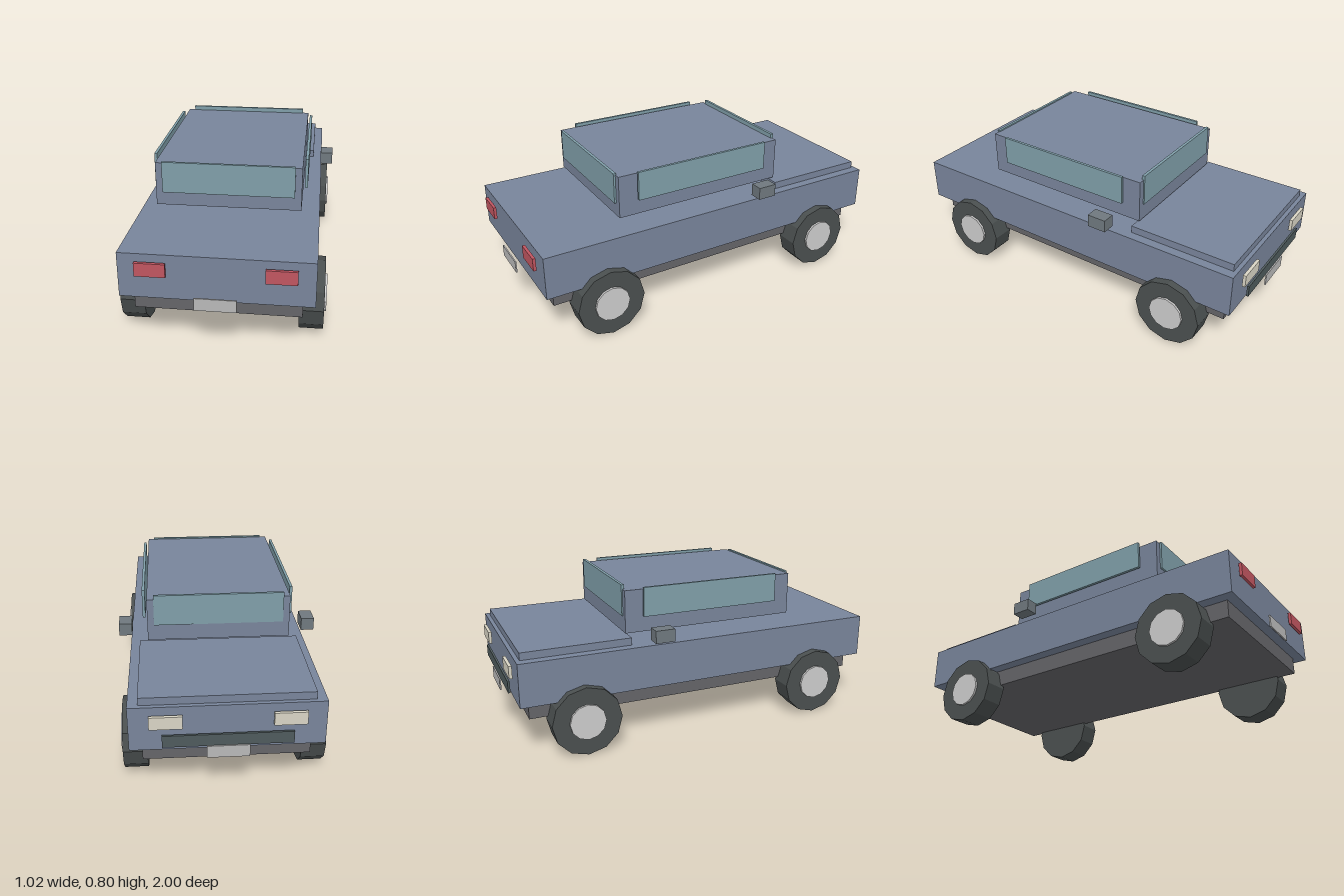
import * as THREE from 'three';

const mat = (color) => new THREE.MeshStandardMaterial({ color, flatShading: true });

export function createModel() {
  const car = new THREE.Group();
  car.name = 'car';

  const paint = mat(0x78849a), glass = mat(0x7f9ea8), rubber = mat(0x4a4f4f);
  const metal = mat(0x646468), chrome = mat(0xcccccc), plate = mat(0xb8b8b8);
  const red = mat(0xc05560), lamp = mat(0xd8d4c4), grille = mat(0x4e5a5c), mirror = mat(0x6f787e);

  // Box given by its min and max along each axis
  function box(name, material, [x0, x1], [y0, y1], [z0, z1]) {
    const mesh = new THREE.Mesh(new THREE.BoxGeometry(x1 - x0, y1 - y0, z1 - z0), material);
    mesh.position.set((x0 + x1) / 2, (y0 + y1) / 2, (z0 + z1) / 2);
    mesh.name = name;
    car.add(mesh);
  }

  // The same box on both sides
  function boxPair(name, material, [x0, x1], y, z) {
    box('left' + name, material, [x0, x1], y, z);
    box('right' + name, material, [-x1, -x0], y, z);
  }

  // Bodywork
  box('chassis', metal, [-0.392, 0.392], [0.197, 0.285], [-0.918, 0.918]);
  box('body', paint, [-0.45, 0.45], [0.284, 0.507], [-0.968, 0.968]);
  box('hood', paint, [-0.402, 0.402], [0.505, 0.545], [-0.947, -0.387]);
  box('cabin', paint, [-0.36, 0.36], [0.557, 0.777], [-0.405, 0.533]);

  // Windows
  box('windshield', glass, [-0.327, 0.327], [0.64, 0.8], [-0.411, -0.396]);
  box('rearWindow', glass, [-0.327, 0.327], [0.626, 0.784], [0.528, 0.543]);
  boxPair('SideWindow', glass, [0.371, 0.385], [0.64, 0.79], [-0.314, 0.437]);

  // Mirrors, lights, grille and plates
  boxPair('Mirror', mirror, [0.444, 0.511], [0.535, 0.6], [-0.301, -0.2]);
  boxPair('TailLight', red, [0.225, 0.368], [0.404, 0.471], [0.977, 0.992]);
  boxPair('Headlight', lamp, [0.205, 0.357], [0.405, 0.469], [-0.993, -0.977]);
  box('grille', grille, [-0.3, 0.3], [0.31, 0.37], [-0.993, -0.982]);
  box('rearPlate', plate, [-0.098, 0.098], [0.25, 0.312], [0.993, 1]);
  box('frontPlate', plate, [-0.098, 0.098], [0.25, 0.312], [-1, -0.993]);

  // Wheels with hubcaps on the outside
  const tireGeo = new THREE.CylinderGeometry(0.178, 0.178, 0.118, 12).rotateZ(Math.PI / 2);
  const hubGeo = new THREE.CylinderGeometry(0.092, 0.092, 0.05, 12).rotateZ(Math.PI / 2);
  for (const side of [1, -1]) {
    for (const z of [-0.653, 0.653]) {
      const wheel = new THREE.Group();
      wheel.name = (side > 0 ? 'left' : 'right') + (z < 0 ? 'HoodEnd' : 'TrunkEnd') + 'Wheel';
      const tire = new THREE.Mesh(tireGeo, rubber);
      tire.name = 'tire';
      const hub = new THREE.Mesh(hubGeo, chrome);
      hub.name = 'hubcap';
      hub.position.x = side * 0.045;
      wheel.add(tire, hub);
      wheel.position.set(side * 0.431, 0.178, z);
      car.add(wheel);
    }
  }

  return car;
}
